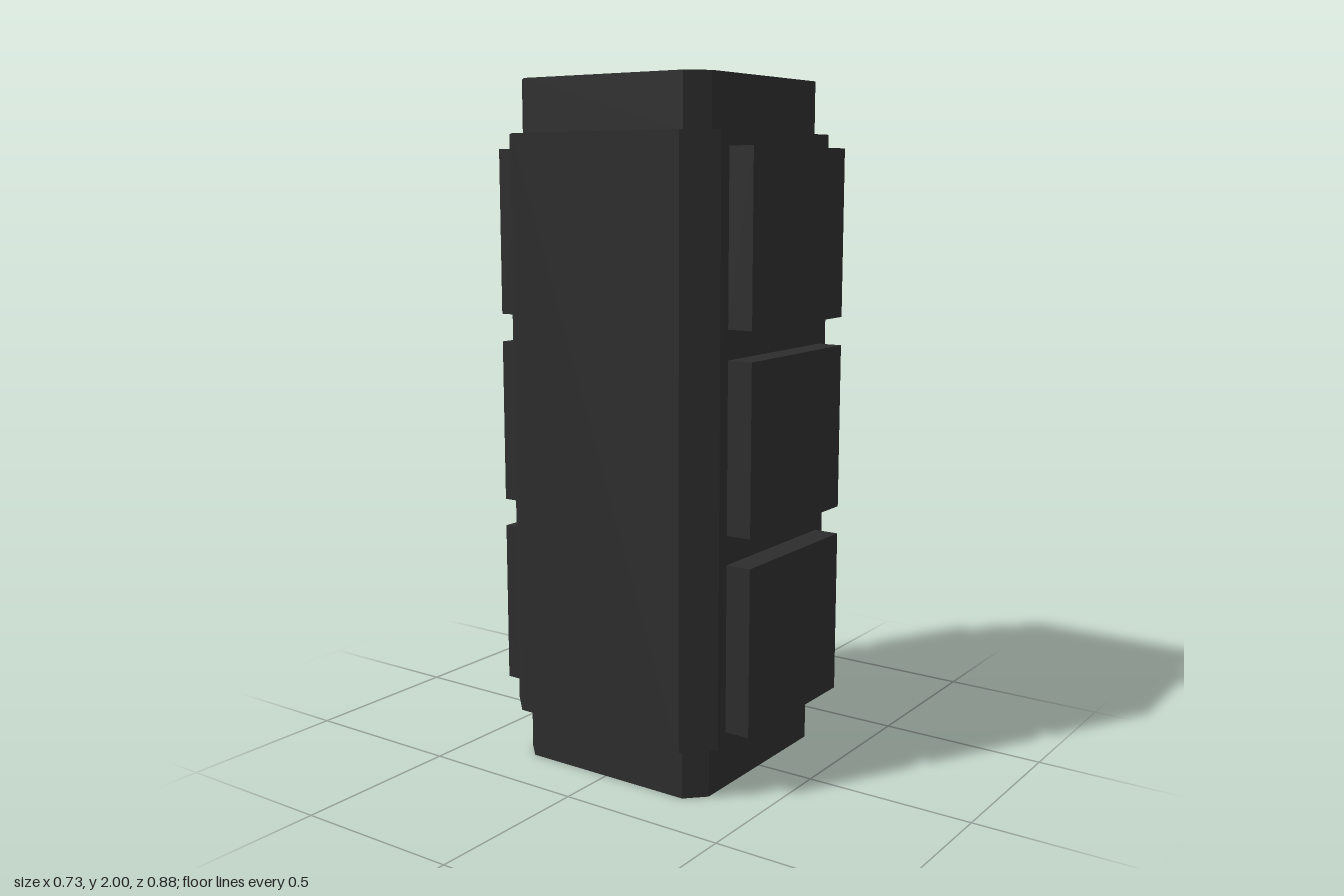
import * as THREE from 'three';

// Upright prism with a square, corner-cut footprint
function chamferedPrism(half, flat, y0, y1) {
  const shape = new THREE.Shape([
    [flat, -half], [half, -flat], [half, flat], [flat, half],
    [-flat, half], [-half, flat], [-half, -flat], [-flat, -half],
  ].map(([x, y]) => new THREE.Vector2(x, y)));
  const geometry = new THREE.ExtrudeGeometry(shape, { depth: y1 - y0, bevelEnabled: false });
  return geometry.rotateX(-Math.PI / 2).translate(0, y0, 0);
}

export function createModel() {
  const model = new THREE.Group();
  model.name = 'panelledPillar';
  const charcoal = new THREE.MeshStandardMaterial({ color: 0x2d2d2d });
  charcoal.name = 'charcoal';

  const add = (name, geometry) => {
    const mesh = new THREE.Mesh(geometry, charcoal);
    mesh.name = name;
    model.add(mesh);
    return mesh;
  };

  // Main column with a narrower block at each end
  add('column', chamferedPrism(0.364, 0.285, 0.152, 1.848));
  add('base', chamferedPrism(0.325, 0.271, 0, 0.152));
  add('cap', chamferedPrism(0.325, 0.271, 1.848, 2));

  // Three raised panels on the front and on the back
  const depth = 0.08;
  const panel = new THREE.BoxGeometry(0.493, 0.483, depth);
  for (const [side, sign] of [['front', 1], ['back', -1]]) {
    for (let i = 0; i < 3; i++) {
      add(`${side}Panel${i + 1}`, panel).position.set(0, 0.434 + i * 0.566, sign * (0.439 - depth / 2));
    }
  }
  return model;
}
